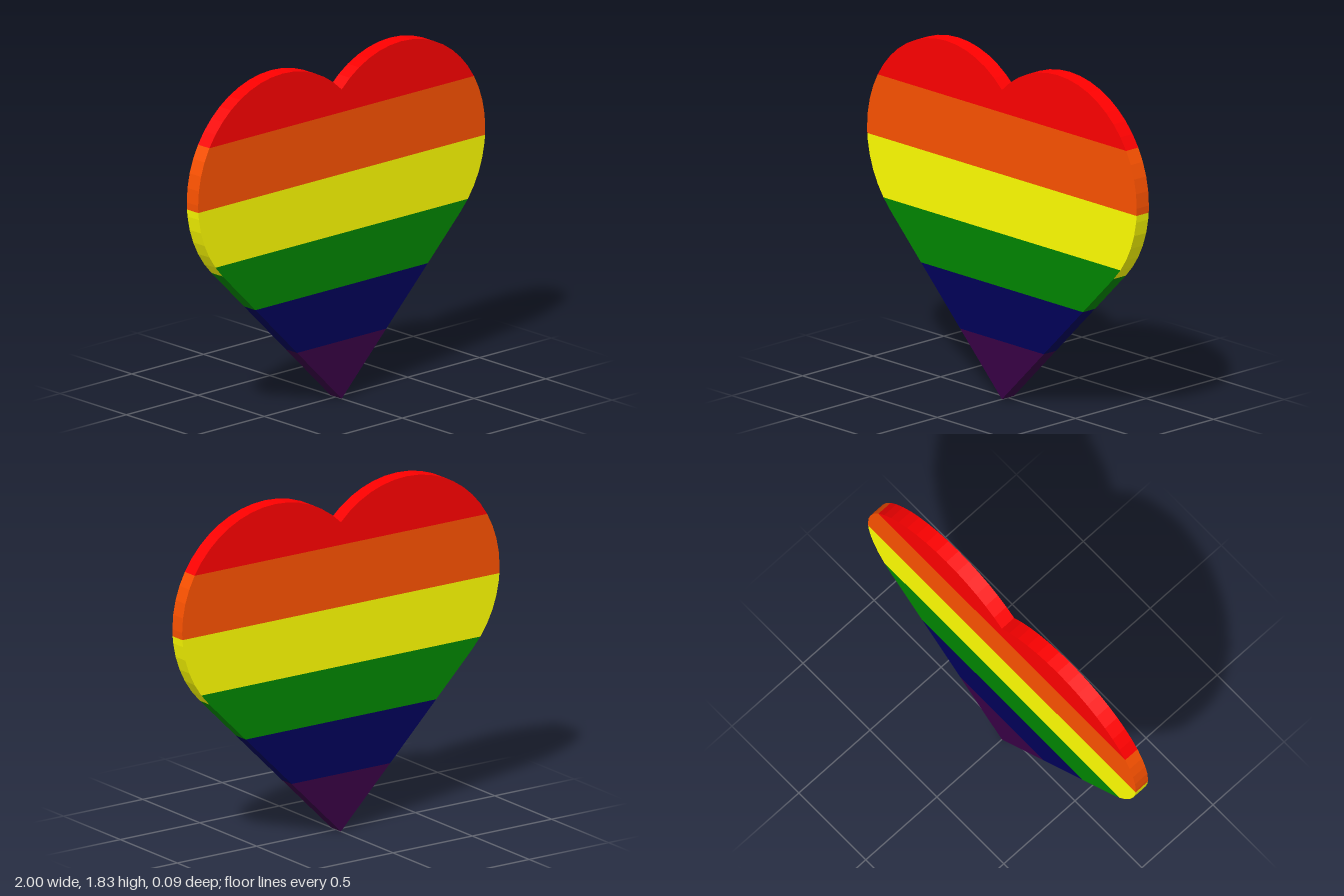
import * as THREE from 'three';

const C = Math.SQRT2 - 1;      // lobe centre offset in x
const R = C * Math.SQRT2;      // lobe radius
const CY = 3 * C;              // lobe centre height
const H = 0.043;               // half thickness
const STEP = 7.5;              // degrees per facet of the lobes

const line = (a, b) => [[a, a], [b, b]];

// Points of the +x lobe from angle a to angle b, on the facets of the lobe
function arc(a, b) {
  const at = (deg) => {
    const t = THREE.MathUtils.degToRad(deg);
    return [C + R * Math.cos(t), CY + R * Math.sin(t)];
  };
  const pts = [];
  for (let d = -45; d <= 135; d += STEP) if (d > a && d < b) pts.push(at(d));
  return [at(a), ...pts, at(b)];
}

// Wall along a path of the +x half, running upwards from the tip; mirrored for -x
function rimGeometry(path) {
  const pos = [];
  for (const s of [1, -1]) {
    for (let i = 0; i + 1 < path.length; i++) {
      let a = path[i], b = path[i + 1];
      if (s < 0) [a, b] = [b, a];
      const p = [s * a[0], a[1]], q = [s * b[0], b[1]];
      pos.push(...p, H, ...p, -H, ...q, -H, ...p, H, ...q, -H, ...q, H);
    }
  }
  const g = new THREE.BufferGeometry();
  g.setAttribute('position', new THREE.Float32BufferAttribute(pos, 3));
  g.computeVertexNormals();
  return g;
}

export function createModel() {
  const heart = new THREE.Group();
  heart.name = 'stripedHeart';

  // Stripes from the tip up: half outline of the face, and path of the rim
  const stripes = [
    ['purple', 0x370044, line(0, 0.31)],
    ['navy', 0x000058, line(0.31, 0.6)],
    ['green', 0x008500, [[0.6, 0.6], ...arc(-45, -37.5)], line(0.6, 2 * C)],
    ['yellow', 0xffff00, arc(-37.5, -3.75), arc(-45, -3.75)],
    ['orange', 0xfc5200, arc(-3.75, 30)],
    ['red', 0xff0000, arc(30, 135)],
  ];

  for (const [name, color, half, rim = half] of stripes) {
    const stripe = new THREE.Group();
    stripe.name = name + 'Stripe';
    const material = new THREE.MeshStandardMaterial({ color, flatShading: true });

    // Front and back faces
    const mirrored = half.map(([x, y]) => [-x, y]).reverse();
    const outline = [...half, ...mirrored]
      .map(([x, y]) => new THREE.Vector2(x, y))
      .filter((p, i, all) => i === 0 || p.distanceTo(all[i - 1]) > 1e-6);
    if (outline[0].distanceTo(outline[outline.length - 1]) < 1e-6) outline.pop();
    const face = new THREE.ShapeGeometry(new THREE.Shape(outline));
    const front = new THREE.Mesh(face, material);
    front.name = name + 'Front';
    front.position.z = H;
    const back = new THREE.Mesh(face, material);
    back.name = name + 'Back';
    back.rotation.y = Math.PI;
    back.position.z = -H;

    // Edge wall
    const wall = new THREE.Mesh(rimGeometry(rim), material);
    wall.name = name + 'Rim';

    stripe.add(front, back, wall);
    heart.add(stripe);
  }
  return heart;
}
